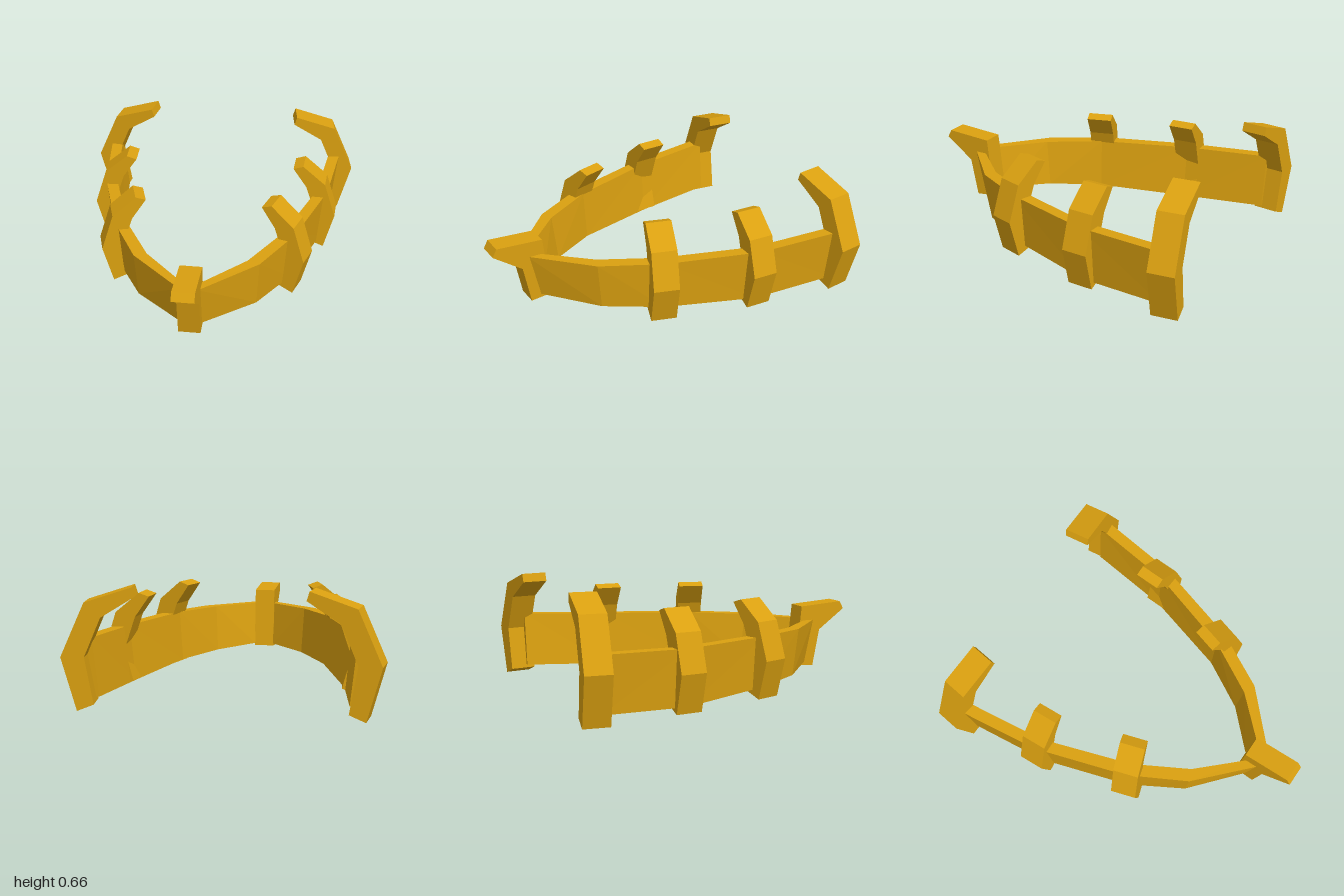
import * as THREE from 'three';

const gold = new THREE.MeshStandardMaterial({ color: 0xdaa010 });
gold.name = 'gold';

// Extrudes a 2D profile, centred on its own plane
function plate(points, width) {
  const shape = new THREE.Shape(points.map(([x, y]) => new THREE.Vector2(x, y)));
  const geo = new THREE.ExtrudeGeometry(shape, { depth: width, bevelEnabled: false });
  return geo.translate(0, 0, -width / 2);
}

// Band stations: outer top x,z, inner top x,z, lean of the bottom x,z, top y, bottom y
const stations = [
  [0.05, 0.79, 0.06, 0.71, 0, -0.06, 0.34, 0.075],
  [0.36, 0.5, 0.29, 0.47, -0.015, -0.03, 0.347, 0.065],
  [0.54, 0.17, 0.465, 0.16, -0.02, -0.01, 0.355, 0.055],
  [0.71, -0.37, 0.64, -0.37, -0.03, 0, 0.358, 0.033],
  [0.775, -0.88, 0.705, -0.88, -0.035, 0, 0.377, 0.055],
];

// Half of the band, lofted through four-cornered sections
function bandGeometry(side) {
  const pos = [];
  const idx = [];
  const quad = (a, b, c, d) =>
    idx.push(...(side > 0 ? [a, b, c, a, c, d] : [a, c, b, a, d, c]));
  for (const [ox, oz, ix, iz, lx, lz, top, bottom] of stations) {
    pos.push(side * ox, top, oz, side * (ox + lx), bottom, oz + lz);
    pos.push(side * (ix + lx), bottom, iz + lz, side * ix, top, iz);
  }
  const last = (stations.length - 1) * 4;
  for (let s = 0; s < last; s += 4) {
    for (let i = 0; i < 4; i++) {
      const j = (i + 1) % 4;
      quad(s + i, s + j, s + 4 + j, s + 4 + i);
    }
  }
  quad(3, 2, 1, 0);
  quad(last, last + 1, last + 2, last + 3);
  const geo = new THREE.BufferGeometry();
  geo.setAttribute('position', new THREE.Float32BufferAttribute(pos, 3));
  geo.setIndex(idx);
  const flat = geo.toNonIndexed();
  flat.computeVertexNormals();
  return flat;
}

// Prong profiles, measured from the outermost corner: x outward, y up
const shortProng = [
  [0, 0.23], [-0.07, 0.445], [-0.21, 0.56], [-0.27, 0.54],
  [-0.185, 0.42], [-0.12, 0.23], [-0.17, 0.045], [-0.06, 0.004],
];
const tallProng = [
  [0, 0.29], [-0.13, 0.58], [-0.38, 0.66], [-0.395, 0.61],
  [-0.215, 0.5], [-0.125, 0.29], [-0.17, 0.035], [-0.08, 0],
];
const prongs = [
  { name: 'frontProng', profile: shortProng, x: 0.62, z: 0.203, turn: -0.3 },
  { name: 'middleProng', profile: shortProng, x: 0.767, z: -0.368, turn: -0.05 },
  { name: 'rearProng', profile: tallProng, x: 0.85, z: -0.925, turn: 0.128 },
];

export function createModel() {
  const model = new THREE.Group();
  model.name = 'prongedBand';
  const add = (name, geo) => {
    const mesh = new THREE.Mesh(geo, gold);
    mesh.name = name;
    model.add(mesh);
    return mesh;
  };

  for (const side of [1, -1]) {
    const label = side > 0 ? 'left ' : 'right ';
    add(label + 'band', bandGeometry(side));
    for (const { name, profile, x, z, turn } of prongs) {
      const mesh = add(label + name, plate(profile.map(([u, y]) => [side * u, y]), 0.15));
      mesh.position.set(side * x, 0, z);
      mesh.rotation.y = side * turn;
    }
  }

  // Central front prong with a forward-pointing beak: profile in z, y
  const beak = [
    [1, 0.4], [0.975, 0.447], [0.695, 0.43], [0.685, 0.34],
    [0.655, 0.06], [0.78, 0.047], [0.825, 0.275],
  ];
  add('centreProng', plate(beak, 0.126).rotateY(-Math.PI / 2));
  return model;
}
